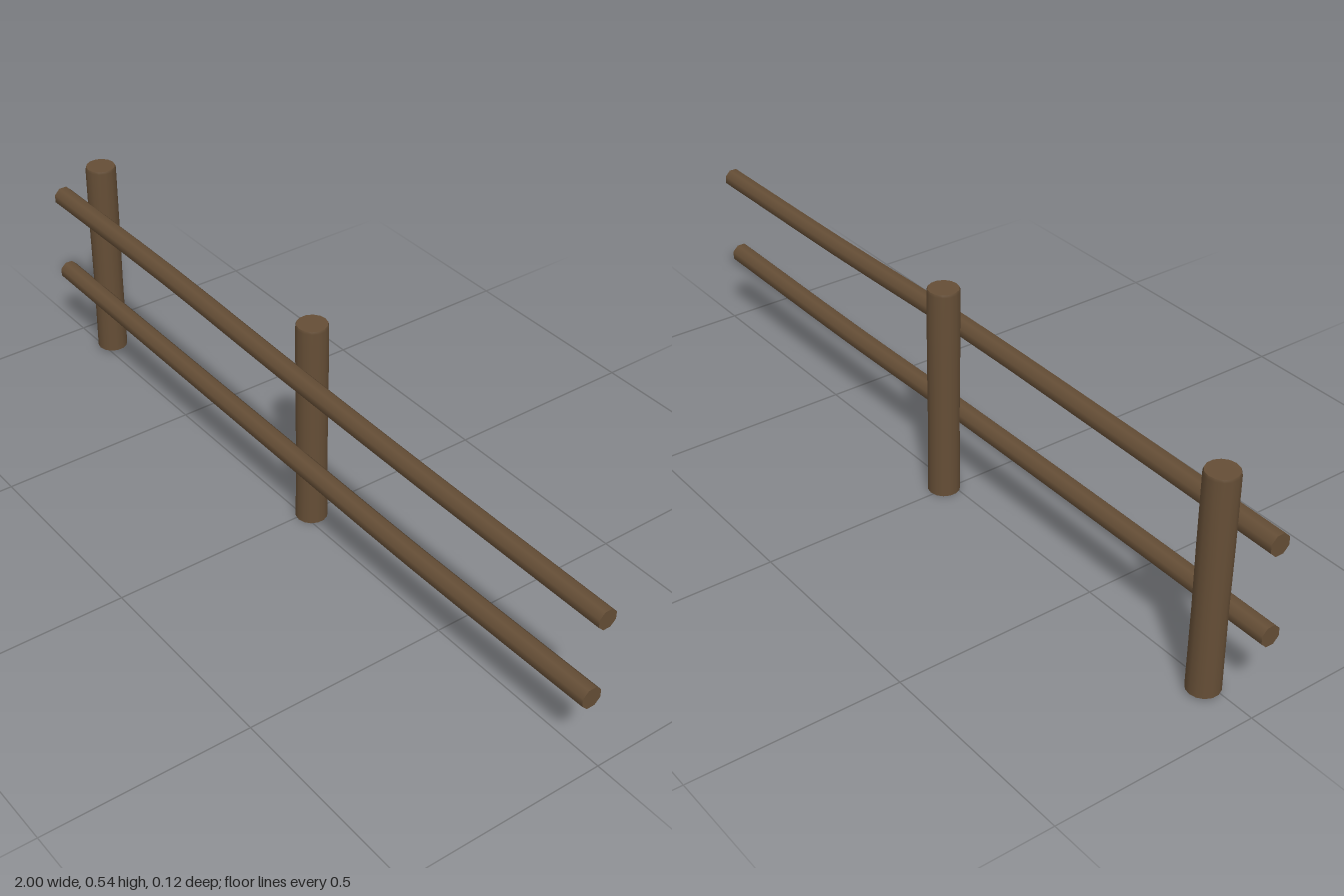
import * as THREE from 'three';

const wood = new THREE.MeshStandardMaterial({ color: 0x654e36 });
wood.name = 'brownWood';

// Round log running along x from x0 to x1, following centre points [x, y, z]
function rail(name, points, rStart, rEnd) {
  const curve = new THREE.CatmullRomCurve3(points.map(p => new THREE.Vector3(...p)));
  const geo = new THREE.CylinderGeometry(rEnd, rStart, 1, 8, 12);
  geo.rotateY(Math.PI / 8).rotateZ(-Math.PI / 2);
  const pos = geo.attributes.position;
  for (let i = 0; i < pos.count; i++) {
    const c = curve.getPoint(THREE.MathUtils.clamp(pos.getX(i) + 0.5, 0, 1));
    pos.setXYZ(i, c.x, c.y + pos.getY(i), c.z + pos.getZ(i));
  }
  const mesh = new THREE.Mesh(geo, wood);
  mesh.name = name;
  return mesh;
}

// Upright post with a small worn edge at the top and a slight waist
function post(name, x, y0, y1) {
  const r = 0.038;
  const profile = [
    [0, y0], [r, y0], [r, y0], [r - 0.001, y0 + 0.2], [r, y0 + 0.35],
    [r, y1 - 0.006], [r - 0.002, y1], [r - 0.002, y1], [0, y1],
  ].map(p => new THREE.Vector2(...p));
  const group = new THREE.Group();
  group.name = name;
  // Side and the two end caps are separate so the rims stay sharp
  for (const [part, a, b] of [['base', 0, 2], ['shaft', 2, 7], ['top', 7, 9]]) {
    const mesh = new THREE.Mesh(new THREE.LatheGeometry(profile.slice(a, b), 14), wood);
    mesh.name = name + part[0].toUpperCase() + part.slice(1);
    group.add(mesh);
  }
  group.position.set(x, 0, -0.02);
  return group;
}

export function createModel() {
  const fence = new THREE.Group();
  fence.name = 'fence';

  // Posts
  fence.add(post('endPost', -0.88, 0.008, 0.537));
  fence.add(post('middlePost', 0.008, 0, 0.531));

  // Gently bowed rails fixed to the front of the posts
  fence.add(rail('upperRail', [
    [-1, 0.413, 0.027], [-0.5, 0.419, 0.028], [0, 0.416, 0.034], [0.5, 0.407, 0.029], [1, 0.405, 0.025],
  ], 0.026, 0.024));
  fence.add(rail('lowerRail', [
    [-1, 0.194, 0.028], [-0.5, 0.193, 0.031], [0, 0.19, 0.032], [0.45, 0.185, 0.03], [0.985, 0.191, 0.026],
  ], 0.025, 0.026));
  return fence;
}
